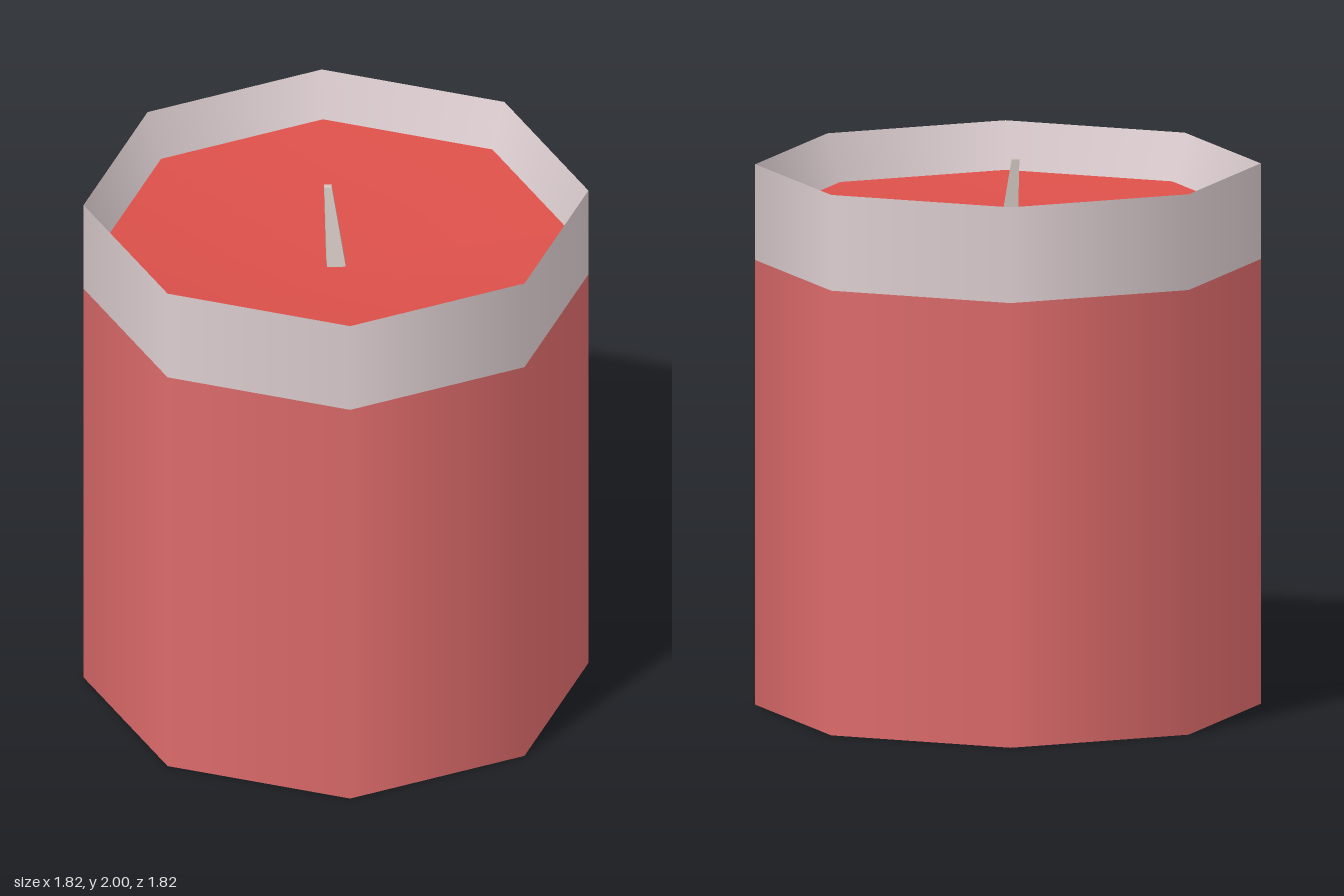
import * as THREE from 'three';

const SIDES = 8;
const RADIUS = 0.91;      // outer radius
const POOL_RADIUS = 0.845; // radius of the wax surface
const BAND_Y = 1.625;
const RIM_Y = 1.975;
const POOL_Y = 1.805;     // wax height at the wall
const DISH_Y = 1.70;      // wax height at the wick

const material = (name, color) => {
  const m = new THREE.MeshStandardMaterial({ color });
  m.name = name;
  return m;
};

// Eight-sided shell with smooth normals; points going down face inwards
const shell = (...points) =>
  new THREE.LatheGeometry(points.map(([r, y]) => new THREE.Vector2(r, y)), SIDES);

export function createModel() {
  const group = new THREE.Group();
  group.name = 'candle';

  const red = material('rose wax', 0xdc6a6a);
  const poolRed = material('bright red wax', 0xdc504a);
  const pale = material('pale rim', 0xdccdcf);
  const wickGrey = material('wick grey', 0xd0c6c0);

  const add = (name, geometry, mat) => {
    const mesh = new THREE.Mesh(geometry, mat);
    mesh.name = name;
    group.add(mesh);
    return mesh;
  };

  // Outer side, pale band and the sloping inside of the rim
  add('body', shell([RADIUS, 0], [RADIUS, BAND_Y]), red);
  add('band', shell([RADIUS, BAND_Y], [RADIUS, RIM_Y]), pale);
  add('innerWall', shell([RADIUS, RIM_Y], [POOL_RADIUS, POOL_Y]), pale);

  // Flat underside
  add('base', new THREE.CircleGeometry(RADIUS, SIDES).rotateX(Math.PI / 2), red);

  // Wax surface, dished towards the wick
  const pool = new THREE.CircleGeometry(POOL_RADIUS, SIDES).rotateX(-Math.PI / 2);
  pool.translate(0, POOL_Y, 0);
  pool.attributes.position.setY(0, DISH_Y);
  pool.computeVertexNormals();
  add('waxSurface', pool, poolRed);

  // Tapered square wick, leaning back and to its right
  const height = 2 - DISH_Y;
  const tapered = new THREE.CylinderGeometry(0.019, 0.048, height, 4, 1, false, Math.PI / 4);
  tapered.translate(0, height / 2, 0);
  const wick = tapered.toNonIndexed();
  const p = wick.attributes.position;
  for (let i = 0; i < p.count; i++) {
    const t = p.getY(i) / height;
    p.setX(i, p.getX(i) - 0.027 * t);
    p.setZ(i, p.getZ(i) - 0.041 * t);
  }
  wick.computeVertexNormals();
  add('wick', wick, wickGrey).position.y = DISH_Y;

  return group;
}
